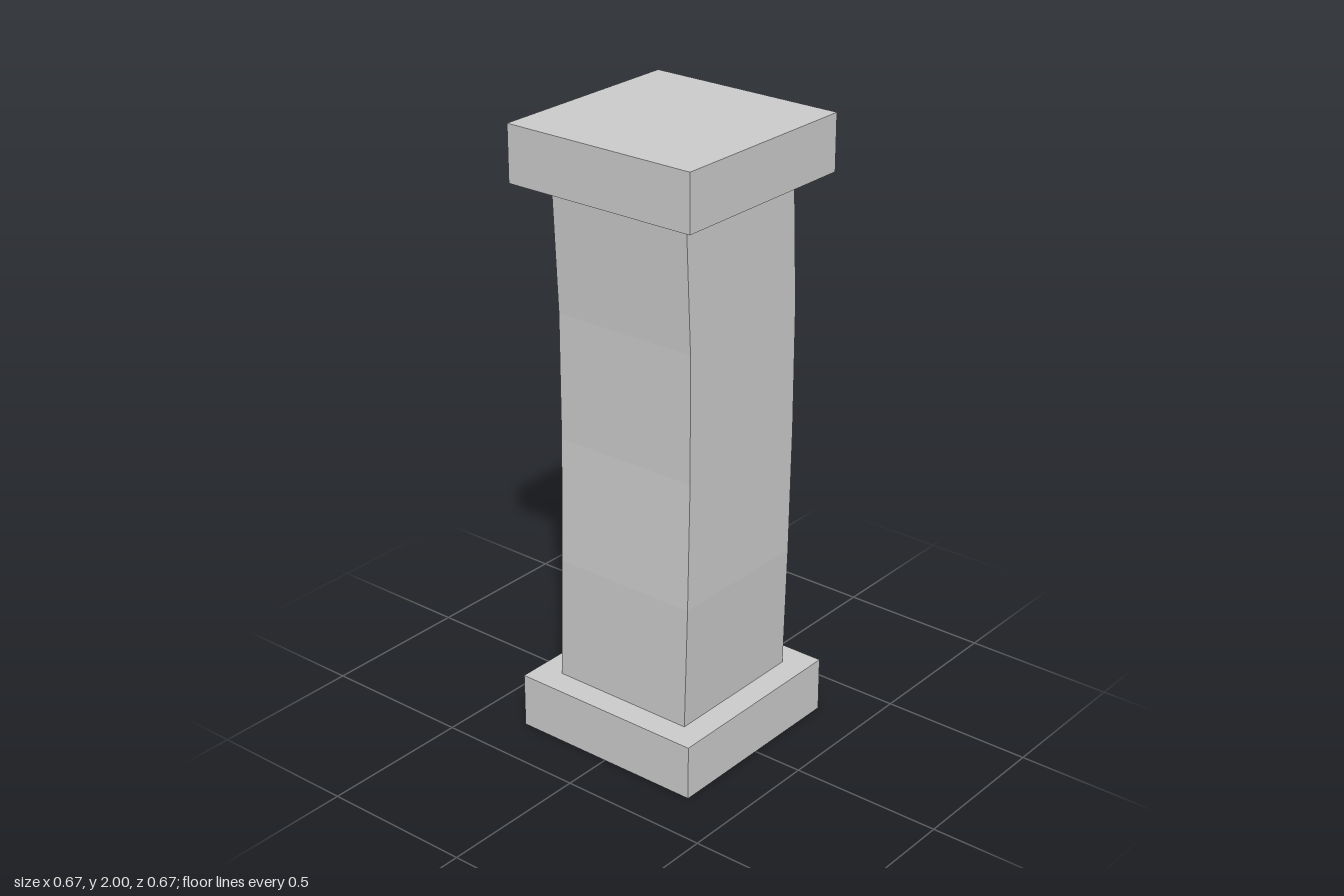
import * as THREE from 'three';

export function createModel() {
  const group = new THREE.Group();
  const material = new THREE.MeshStandardMaterial({ color: 0xcccccc, flatShading: true });

  function addPart(name, geometry, y, z = 0) {
    const mesh = new THREE.Mesh(geometry, material);
    mesh.name = name;
    mesh.position.set(0, y, z);
    group.add(mesh);
  }

  // Square slabs at the foot and head of the pillar
  const slabHeight = 0.18;
  addPart('base', new THREE.BoxGeometry(0.666, slabHeight, 0.668), slabHeight / 2, 0.002);
  addPart('capital', new THREE.BoxGeometry(0.666, slabHeight, 0.673), 2 - slabHeight / 2);

  // Slightly crooked shaft: each ring, bottom to top, is shifted by [x, z]
  const shifts = [[0, 0.002], [0.012, 0.003], [0.008, -0.012], [0.008, -0.012], [0.008, 0.008]];
  const height = 2 - 2 * slabHeight;
  const segments = shifts.length - 1;
  const shaft = new THREE.BoxGeometry(0.498, height, 0.498, 1, segments, 1);
  const pos = shaft.attributes.position;
  for (let i = 0; i < pos.count; i++) {
    const [dx, dz] = shifts[Math.round((pos.getY(i) / height + 0.5) * segments)];
    pos.setX(i, pos.getX(i) + dx);
    pos.setZ(i, pos.getZ(i) + dz);
  }
  shaft.computeVertexNormals();
  addPart('shaft', shaft, 1);

  return group;
}
